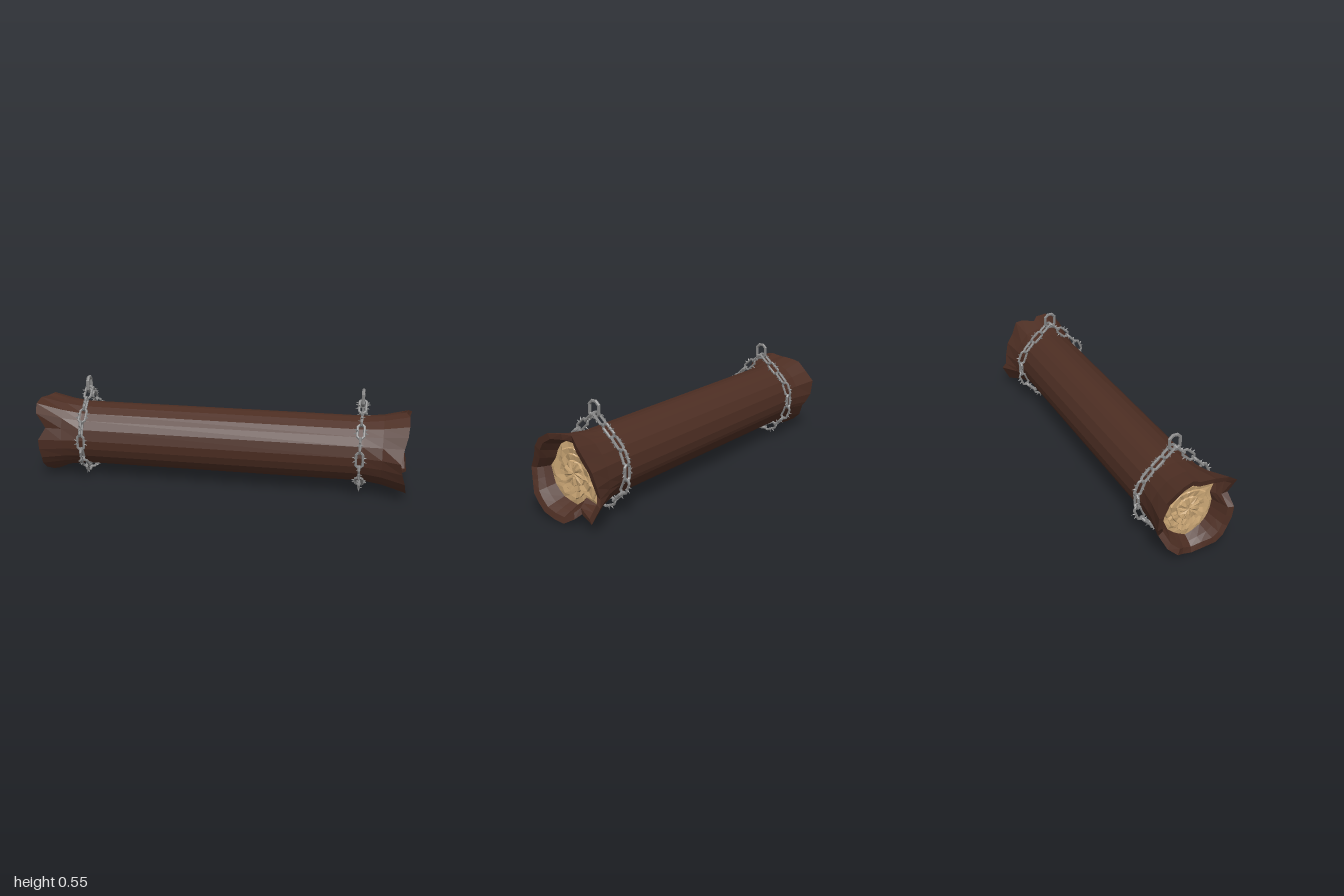
import * as THREE from 'three';
import { mergeGeometries } from 'three/addons/utils/BufferGeometryUtils.js';

const bark = new THREE.MeshStandardMaterial({ color: 0x4d2e23 });
const wood = new THREE.MeshStandardMaterial({ color: 0xc9a574 });
const steel = new THREE.MeshStandardMaterial({ color: 0x858585 });
bark.name = 'bark brown';
wood.name = 'cut wood tan';
steel.name = 'steel grey';

const CY = 0.23, BODY_R = 0.173;

// Facet angles in degrees from the front (+z) towards the top (+y)
const ANGLES = [0, 20, 37, 52, 70, 88, 97, 113, 123, 142, 161, 182, 196, 203, 225, 243, 254, 270, 285, 301, 314, 328, 344];
// Jagged rims: radius and reach along x for each facet corner
const RIMS = {
  left: {
    side: 1,
    r: [.228, .202, .209, .218, .22, .21, .2, .214, .216, .191, .197, .204, .222, .248, .259, .191, .204, .227, .223, .227, .225, .227, .222],
    x: [.955, .97, .985, .99, .99, .97, .935, .98, 1, .985, .98, .97, .96, .98, .99, .95, .97, .985, .99, .99, .985, .98, .965],
  },
  right: {
    side: -1,
    r: [.2, .195, .255, .245, .22, .2, .205, .21, .215, .215, .225, .21, .2, .195, .205, .21, .215, .23, .22, .215, .21, .205, .2],
    x: [.985, .945, .985, 1, 1, .985, .97, .98, .99, .985, 1, .985, .955, .94, .97, .985, .965, .95, .96, .98, .985, .98, .985],
  },
};

function facet(geometry) {
  const g = geometry.index ? geometry.toNonIndexed() : geometry;
  g.computeVertexNormals();
  return g;
}

// One closed loop round the log; fn(j) gives [x, radius]
const loop = (fn) => ANGLES.map((deg, j) => {
  const [x, r] = fn(j), a = THREE.MathUtils.degToRad(deg);
  return [x, CY + r * Math.sin(a), r * Math.cos(a)];
});

// Faceted skin over a row of loops
function loft(loops) {
  const n = ANGLES.length, index = [];
  for (let i = 0; i < loops.length - 1; i++) {
    for (let j = 0; j < n; j++) {
      const a = i * n + j, b = i * n + (j + 1) % n;
      index.push(a, a + n, b, b, a + n, b + n);
    }
  }
  const g = new THREE.BufferGeometry();
  g.setAttribute('position', new THREE.Float32BufferAttribute(loops.flat(2), 3));
  g.setIndex(index);
  return facet(g);
}

const CAP_X = 0.885;
const capRadius = (rim, j) => rim.r[j] - 0.063;

// Bark loops of one end, from the straight trunk out over the rim and into the hollow
function endLoops(rim) {
  const s = rim.side;
  const flare = (t) => (j) => BODY_R + (rim.r[j] - BODY_R) * t;
  return [
    loop((j) => [s * 0.76, BODY_R]),
    loop((j) => [s * 0.86, flare(0.3)(j)]),
    loop((j) => [s * rim.x[j], rim.r[j]]),
    loop((j) => [s * (rim.x[j] - 0.008), rim.r[j] - 0.03]),
    loop((j) => [s * (rim.x[j] + CAP_X) / 2, rim.r[j] - 0.046]),
    loop((j) => [s * CAP_X, capRadius(rim, j)]),
  ];
}

// Cut face with stepped growth rings
function capLoops(rim) {
  const steps = [[1, CAP_X], [0.82, 0.888], [0.8, 0.897], [0.63, 0.892], [0.61, 0.901],
    [0.42, 0.896], [0.4, 0.905], [0.18, 0.908], [0, 0.905]];
  return steps.map(([k, x], i) => loop((j) => {
    const round = THREE.MathUtils.lerp(0.15, capRadius(rim, j), k);
    const bump = i > 0 && k > 0 ? 0.004 * Math.sin(j * 2.3 + i) : 0;
    return [rim.side * (x + bump), k * round * (1 + bump * 8)];
  }));
}

// Octagonal ring stretched along y
function ring(radius, tube, stretch) {
  const g = new THREE.TorusGeometry(radius, tube, 6, 8);
  g.rotateZ(Math.PI / 8);
  const p = g.attributes.position;
  for (let i = 0; i < p.count; i++) p.setY(i, p.getY(i) + Math.sign(p.getY(i)) * stretch);
  return facet(g);
}

// Chain link with small barbs on both bars
function barbedLink() {
  const parts = [ring(0.019, 0.0075, 0.021)];
  for (const s of [1, -1]) {
    for (const t of [1, -1]) {
      const out = new THREE.ConeGeometry(0.006, 0.02, 4);
      out.rotateZ(-s * (Math.PI / 2 - t * 0.35));
      out.translate(s * 0.03, t * 0.012, 0);
      parts.push(facet(out));
    }
    const up = new THREE.ConeGeometry(0.005, 0.016, 4);
    up.rotateX(s * Math.PI / 2);
    up.translate(s * 0.018, 0, s * 0.012);
    parts.push(facet(up));
  }
  return mergeGeometries(parts);
}

// Point and direction (z, y) on the sling: straight from the apex, round the log, straight back
const SLING_R = 0.192, APEX = 0.26;
const half = Math.acos(SLING_R / APEX);
const straight = Math.sqrt(APEX ** 2 - SLING_R ** 2);
const arc = SLING_R * (2 * Math.PI - 2 * half);
function sling(d) {
  const end = d > straight + arc;
  const turn = THREE.MathUtils.clamp((d - straight) / SLING_R, 0, arc / SLING_R);
  const a = Math.PI / 2 - half - turn;
  const over = d < straight ? d - straight : end ? d - straight - arc : 0;
  const radial = new THREE.Vector3(0, Math.sin(a), Math.cos(a));
  const along = new THREE.Vector3(0, -Math.cos(a), Math.sin(a));
  const point = radial.clone().multiplyScalar(SLING_R).addScaledVector(along, over);
  point.y += CY;
  return { point, radial, along };
}

function chain(linkGeometry, topGeometry) {
  const group = new THREE.Group();
  const count = 17, pitch = (2 * straight + arc) / count;
  for (let i = 0; i < count; i++) {
    const { point, radial, along } = sling((i + 0.5) * pitch);
    const across = i % 2 ? radial : new THREE.Vector3(1, 0, 0);
    const link = new THREE.Mesh(linkGeometry, steel);
    link.name = 'chainLink';
    link.position.copy(point);
    link.quaternion.setFromRotationMatrix(
      new THREE.Matrix4().makeBasis(across, along, across.clone().cross(along)));
    group.add(link);
  }
  // Hanging link at the top
  const top = new THREE.Mesh(topGeometry, steel);
  top.name = 'hangingLink';
  top.rotation.y = Math.PI / 2;
  top.position.set(0, 0.506, 0.004);
  group.add(top);
  return group;
}

export function createModel() {
  const model = new THREE.Group();
  model.name = 'hangingLog';
  const add = (name, geometry, material) => {
    const mesh = new THREE.Mesh(geometry, material);
    mesh.name = name;
    model.add(mesh);
  };

  // Trunk with flared, broken ends
  add('barkTrunk', loft([...endLoops(RIMS.right).reverse(), ...endLoops(RIMS.left)]), bark);
  add('leftCutFace', loft(capLoops(RIMS.left)), wood);
  add('rightCutFace', loft(capLoops(RIMS.right).reverse()), wood);

  // Barbed chains
  const linkGeometry = barbedLink(), topGeometry = ring(0.031, 0.009, 0.011);
  for (const s of [1, -1]) {
    const c = chain(linkGeometry, topGeometry);
    c.name = s > 0 ? 'leftChain' : 'rightChain';
    c.position.x = s * 0.745;
    model.add(c);
  }
  return model;
}
